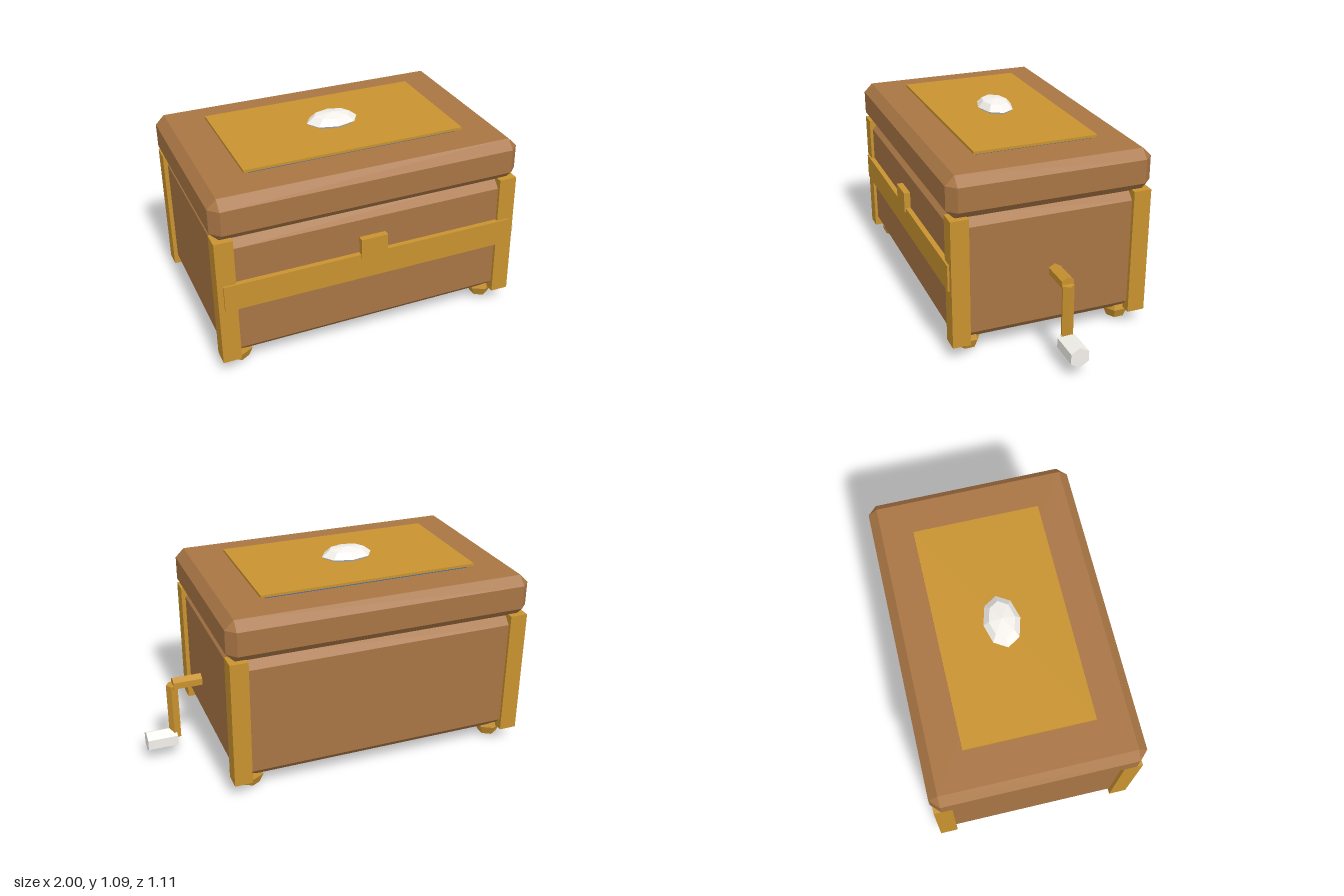
import * as THREE from 'three';
import { ConvexGeometry } from 'three/addons/geometries/ConvexGeometry.js';

const mat = (color) => new THREE.MeshStandardMaterial({ color, flatShading: true });
const CX = -0.168; // centre of the box; the crank sticks out on +x
const CZ = -0.004; // the latch sticks out on +z

export function createModel() {
  const group = new THREE.Group();
  const wood = mat(0xa87544), brass = mat(0xc8922f), blue = mat(0x3468b8), pearl = mat(0xf4f1ec);

  function add(name, geometry, material, x, y, z) {
    const mesh = new THREE.Mesh(geometry, material);
    mesh.name = name;
    mesh.position.set(x, y, z);
    group.add(mesh);
  }
  const box = (w, h, d) => new THREE.BoxGeometry(w, h, d);

  // box with every edge cut at 45 degrees
  function chamferBox(w, h, d, c) {
    const points = [];
    const x = w / 2, y = h / 2, z = d / 2;
    for (const sx of [-1, 1]) for (const sy of [-1, 1]) for (const sz of [-1, 1]) {
      points.push(
        new THREE.Vector3(sx * x, sy * (y - c), sz * (z - c)),
        new THREE.Vector3(sx * (x - c), sy * y, sz * (z - c)),
        new THREE.Vector3(sx * (x - c), sy * (y - c), sz * z));
    }
    return new ConvexGeometry(points);
  }

  // case and lid
  add('body', chamferBox(1.606, 0.69, 1.05, 0.05), wood, CX, 0.435, CZ);
  add('lid', chamferBox(1.664, 0.225, 1.1, 0.048), wood, CX, 0.8925, CZ);

  // inlay, top plate and gem
  add('inlay', box(1.134, 0.024, 0.632), blue, CX, 1.01, CZ);
  add('topPlate', box(1.194, 0.014, 0.674), brass, CX, 1.026, CZ);
  const gem = new THREE.SphereGeometry(1, 8, 4);
  gem.scale(0.142, 0.046, 0.096);
  add('gem', gem, pearl, CX, 1.047, CZ);

  // corner posts and feet
  const foot = new THREE.SphereGeometry(0.073, 6, 4);
  foot.rotateY(Math.PI / 2);
  for (const sx of [-1, 1]) for (const sz of [-1, 1]) {
    add('cornerPost', box(0.096, 0.703, 0.096), brass, CX + sx * 0.777, 0.4345, CZ + sz * 0.494);
    add('foot', foot, brass, CX + sx * 0.712, 0.073, CZ + sz * 0.43);
  }

  // front band and latch
  add('frontBand', box(1.592, 0.143, 0.04), brass, CX, 0.47, 0.529);
  add('latch', box(0.145, 0.112, 0.06), brass, CX, 0.576, 0.526);

  // crank: shaft, arm and grip; the hexagons have a corner at the top
  const rod = (r, length, sides) => new THREE.CylinderGeometry(r, r, length, sides);
  const hexRod = (r, length) => rod(r, length, 6).rotateY(Math.PI / 2).rotateZ(Math.PI / 2);
  add('crankShaft', hexRod(0.037, 0.158), brass, 0.756, 0.437, CZ);
  add('crankArm', rod(0.033, 0.32, 5).rotateY(Math.PI / 2), brass, 0.838, 0.275, CZ);
  add('crankGrip', hexRod(0.056, 0.165), pearl, 0.9175, 0.11, CZ);

  return group;
}
